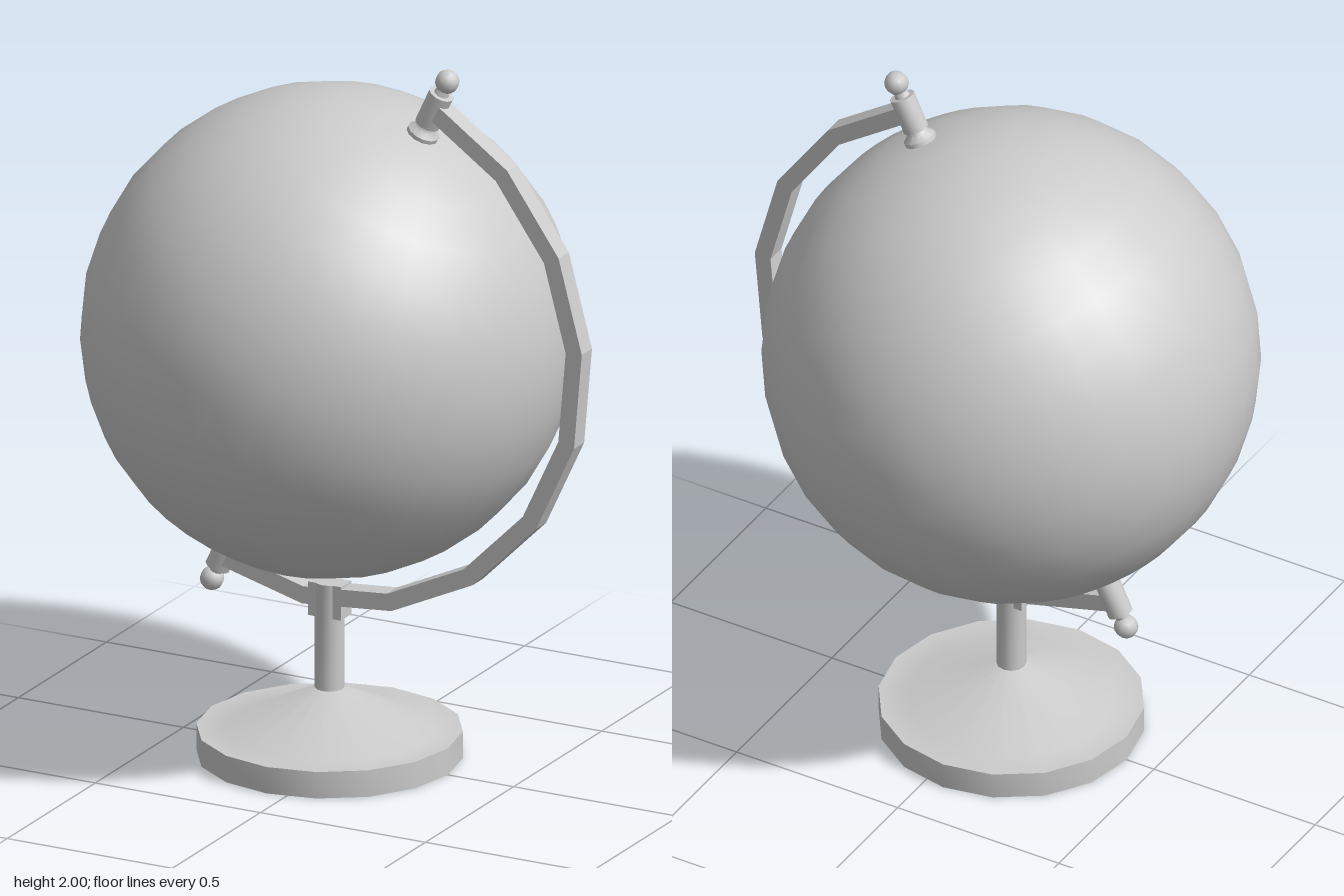
import * as THREE from 'three';
import { toCreasedNormals } from 'three/addons/utils/BufferGeometryUtils.js';

const material = new THREE.MeshStandardMaterial({ color: 0xcccccc });
const CX = -0.057, CY = 1.203, R = 0.668;
const TILT = THREE.MathUtils.degToRad(25);

function part(name, geometry, parent) {
  const mesh = new THREE.Mesh(geometry, material);
  mesh.name = name;
  parent.add(mesh);
  return mesh;
}

function lathe(profile, sides, crease) {
  const points = profile.map(([r, y]) => new THREE.Vector2(r, y));
  return toCreasedNormals(new THREE.LatheGeometry(points, sides), crease);
}

// Faceted half ring, from the upper pivot round to the lower one
function armGeometry(inner, outer, depth) {
  const steps = 9, outside = [], inside = [];
  for (let i = 0; i <= steps; i++) {
    const a = Math.PI / 2 - TILT - (i / steps) * Math.PI;
    const c = Math.cos(a), s = Math.sin(a);
    outside.push(new THREE.Vector2(c * outer, s * outer));
    inside.unshift(new THREE.Vector2(c * inner, s * inner));
  }
  const shape = new THREE.Shape([...outside, ...inside]);
  const geometry = new THREE.ExtrudeGeometry(shape, { depth, bevelEnabled: false });
  return geometry.translate(0, 0, -depth / 2);
}

export function createModel() {
  const model = new THREE.Group();
  model.name = 'deskGlobe';

  // Round foot with a flat rim and a cone rising to the post
  const base = part('base', lathe([
    [0, 0], [0.358, 0], [0.358, 0.075], [0.28, 0.075], [0.04, 0.19], [0, 0.19],
  ], 16, 0.8), model);
  base.position.x = CX;

  // Post and the clamp holding the arm
  const post = part('post', toCreasedNormals(
    new THREE.CylinderGeometry(0.04, 0.04, 0.31, 12), 0.8), model);
  post.position.set(CX, 0.335, 0);
  const clamp = part('armClamp', new THREE.BoxGeometry(0.1, 0.095, 0.06), model);
  clamp.position.set(CX, 0.4425, 0);

  // Arm and ball share one centre
  const head = new THREE.Group();
  head.name = 'head';
  head.position.set(CX, CY, 0);
  model.add(head);

  part('arm', armGeometry(0.733, 0.782, 0.058), head);

  const axis = new THREE.Group();
  axis.name = 'tiltedAxis';
  axis.rotation.z = -TILT;
  head.add(axis);
  part('ball', new THREE.SphereGeometry(R, 32, 16), axis);

  // Matching pivots at both poles: washer, sleeve, neck and knob
  const washer = lathe([
    [0, 0.645], [0.045, 0.655], [0.045, 0.675], [0.03, 0.69], [0.025, 0.705], [0, 0.705],
  ], 12, 0.6);
  const sleeve = lathe([[0, 0.7], [0.035, 0.7], [0.035, 0.802], [0, 0.802]], 12, 0.8);
  const neck = lathe([[0, 0.795], [0.022, 0.8], [0.014, 0.83], [0, 0.83]], 10, 0.8);
  const knob = new THREE.SphereGeometry(0.033, 10, 8).translate(0, 0.843, 0);
  for (const [name, turn] of [['upperPivot', 0], ['lowerPivot', Math.PI]]) {
    const pivot = new THREE.Group();
    pivot.name = name;
    pivot.rotation.z = turn;
    axis.add(pivot);
    part('washer', washer, pivot);
    part('sleeve', sleeve, pivot);
    part('neck', neck, pivot);
    part('knob', knob, pivot);
  }

  return model;
}
